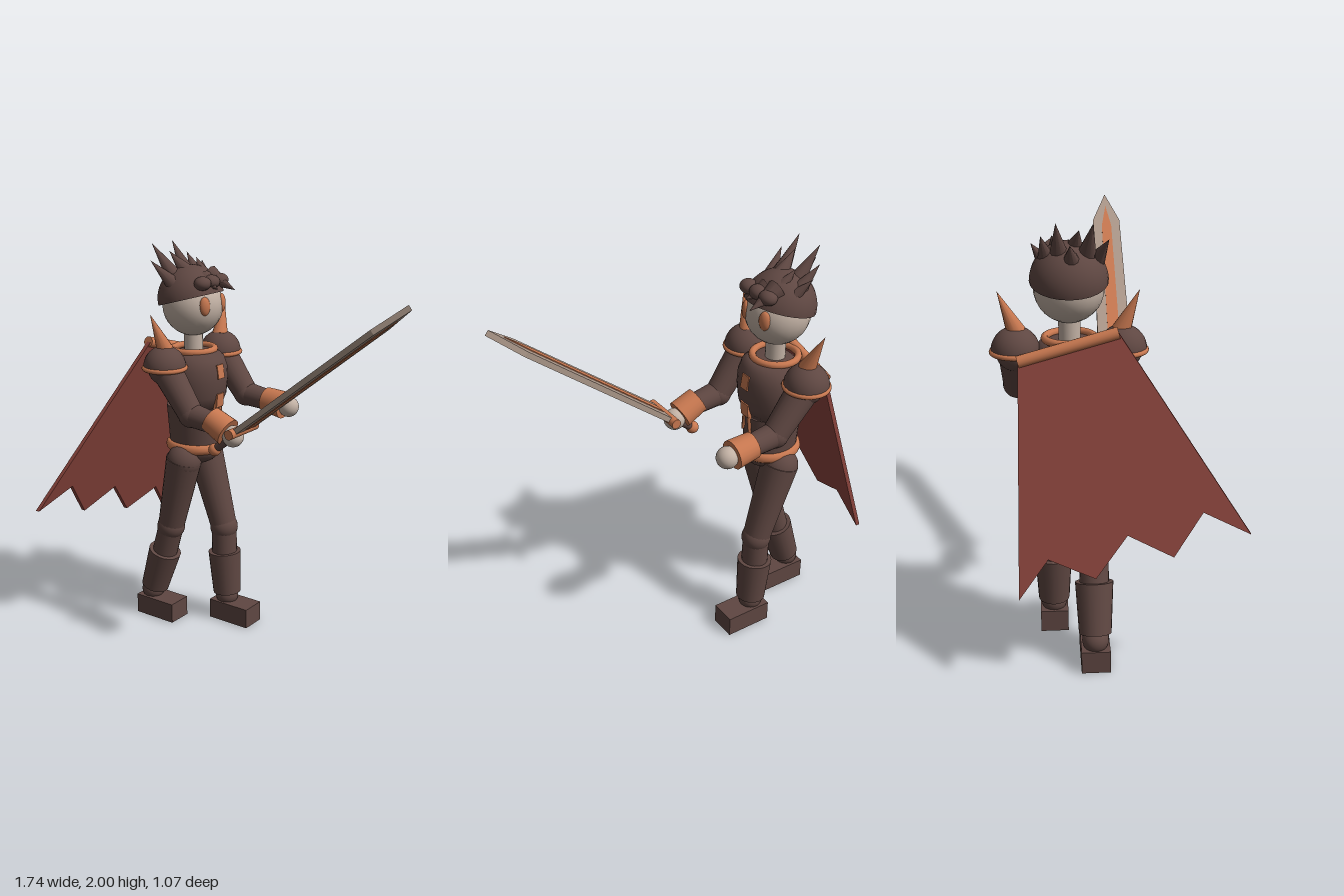
import * as THREE from 'three';

const mat = (name, color) => {
  const m = new THREE.MeshStandardMaterial({ color, side: THREE.DoubleSide });
  m.name = name;
  return m;
};
const V = (x, y, z) => new THREE.Vector3(x, y, z);

export function createModel() {
  const cloth = mat('dark brown', 0x5f4742), copper = mat('copper', 0xc87850), skin = mat('skin', 0xc2b1a4);
  const steel = mat('steel', 0xac988a), red = mat('cape red', 0x8c453d);
  const root = new THREE.Group();
  root.name = 'caped swordsman';

  const add = (name, geo, m, pos = [0, 0, 0], parent = root) => {
    const mesh = new THREE.Mesh(geo, m);
    mesh.name = name;
    mesh.position.set(...pos);
    parent.add(mesh);
    return mesh;
  };
  const ball = (name, m, pos, r, s = [1, 1, 1], parent = root) => {
    const mesh = add(name, new THREE.SphereGeometry(r, 24, 16), m, pos, parent);
    mesh.scale.set(...s);
    return mesh;
  };
  // tapered cylinder or cone running from a to b
  const limb = (name, m, a, b, r0, r1, sides = 20, parent = root) => {
    const d = V(...b).sub(V(...a));
    const mesh = add(name, new THREE.CylinderGeometry(r1, r0, d.length(), sides), m, [0, 0, 0], parent);
    mesh.position.copy(V(...a).addScaledVector(d, 0.5));
    mesh.quaternion.setFromUnitVectors(V(0, 1, 0), d.normalize());
    return mesh;
  };
  const ring = (name, r, tube, pos, sx = 1, sz = 1, sy = 1) => {
    const g = new THREE.TorusGeometry(r, tube, 10, 32).rotateX(Math.PI / 2).scale(sx, sy, sz);
    return add(name, g, copper, pos);
  };
  const midZ = -0.2;

  // torso
  const profile = [[0, 1.47], [0.11, 1.47], [0.145, 1.44], [0.162, 1.39], [0.165, 1.33], [0.155, 1.25], [0.13, 1.19], [0, 1.19]];
  const chest = new THREE.LatheGeometry(profile.reverse().map(p => new THREE.Vector2(...p)), 28);
  add('chest', chest.scale(0.9, 1, 1), cloth, [-0.418, 0, midZ]);
  add('waist', new THREE.CylinderGeometry(0.15, 0.135, 0.2, 28).scale(1, 1, 0.83), cloth, [-0.44, 1.09, midZ]);
  ring('belt', 0.132, 0.022, [-0.442, 0.978, midZ], 1, 0.86, 1.2);
  ball('pelvis', cloth, [-0.44, 0.965, midZ], 0.13, [1.05, 0.65, 0.9]);
  ring('collar', 0.106, 0.017, [-0.44, 1.477, midZ]);
  limb('neck', skin, [-0.44, 1.45, midZ], [-0.44, 1.58, midZ], 0.047, 0.047);

  // chest ornament
  add('upper chest plate', new THREE.BoxGeometry(0.02, 0.07, 0.05), copper, [-0.28, 1.38, midZ]).rotation.z = 0.15;
  add('lower chest plate', new THREE.BoxGeometry(0.02, 0.07, 0.055), copper, [-0.285, 1.235, midZ]).rotation.z = -0.1;
  for (const s of [-1, 1])
    limb('chest plate tail', copper, [-0.295, 1.22, midZ + s * 0.015], [-0.292, 1.11, midZ + s * 0.028], 0.014, 0.007, 4);

  // head
  ball('head', skin, [-0.44, 1.697, midZ], 0.151);
  for (const s of [-1, 1]) ball('eye', copper, [-0.314, 1.71, midZ + s * 0.069], 0.046, [0.42, 1, 0.6]).rotation.y = -s * 0.5;
  const cap = add('hair cap', new THREE.SphereGeometry(0.166, 24, 14, 0, Math.PI * 2, 0, Math.PI * 0.5), cloth, [-0.45, 1.727, midZ]);
  cap.rotation.z = 0.27;

  // hair spikes: base, tip, base radius
  const spikes = [
    [[-0.5, 1.84, -0.13], [-0.615, 1.995, -0.105], 0.042],
    [[-0.5, 1.84, -0.24], [-0.61, 1.995, -0.255], 0.042],
    [[-0.45, 1.85, -0.18], [-0.55, 1.955, -0.16], 0.045],
    [[-0.47, 1.81, -0.09], [-0.57, 1.92, -0.04], 0.04],
    [[-0.47, 1.82, -0.29], [-0.565, 1.935, -0.315], 0.04],
    [[-0.43, 1.80, -0.3], [-0.5, 1.895, -0.355], 0.035],
    [[-0.53, 1.81, -0.19], [-0.64, 1.91, -0.2], 0.045],
    [[-0.4, 1.83, -0.25], [-0.47, 1.92, -0.27], 0.04],
    [[-0.38, 1.84, -0.26], [-0.23, 1.78, -0.265], 0.05],
    [[-0.37, 1.83, -0.2], [-0.27, 1.79, -0.18], 0.045],
  ];
  for (const [a, b, r] of spikes) limb('hair spike', cloth, a, b, r, 0, 10);
  for (const z of [-0.27, -0.2, -0.13]) ball('fringe lock', cloth, [-0.325, 1.82, z], 0.045, [0.9, 0.75, 1]);

  // arms: s is the side, wrist and elbow heights differ
  const arms = [
    { s: 1, z: 0.025, elbow: [-0.285, 1.21], cuff: [-0.115, 1.185], hand: [-0.035, 1.145] },
    { s: -1, z: -0.43, elbow: [-0.28, 1.22], cuff: [-0.1, 1.2], hand: [-0.018, 1.19] },
  ];
  for (const { s, z, elbow, cuff, hand } of arms) {
    ball('shoulder', cloth, [-0.44, 1.42, z], 0.085);
    limb('upper arm', cloth, [-0.43, 1.41, z], [...elbow, z], 0.075, 0.062);
    ball('elbow', cloth, [...elbow, z], 0.064);
    limb('forearm', cloth, [...elbow, z], [...cuff, z], 0.06, 0.05);
    const d = V(hand[0] - cuff[0], hand[1] - cuff[1], 0).normalize().multiplyScalar(0.056);
    limb('cuff', copper, [cuff[0] - d.x, cuff[1] - d.y, z], [cuff[0] + d.x, cuff[1] + d.y, z], 0.063, 0.07);
    ball('hand', skin, [...hand, z], 0.052);
    // shoulder armour
    const pad = new THREE.SphereGeometry(0.105, 24, 10, 0, Math.PI * 2, 0, Math.PI / 2);
    add('shoulder pad', pad, cloth, [-0.443, 1.425, z]);
    ring('shoulder pad rim', 0.101, 0.012, [-0.443, 1.422, z]);
    limb('shoulder spike', copper, [-0.443, 1.51, z - 0.005 * s], [-0.468, 1.69, z + s * 0.07], 0.042, 0, 12);
  }

  // legs
  const legs = [
    { z: -0.108, knee: [-0.535, 0.53], top: [-0.58, 0.38], low: [-0.655, 0.16], ankle: [-0.67, 0.135], foot: -0.61 },
    { z: -0.285, knee: [-0.32, 0.52], top: [-0.317, 0.38], low: [-0.302, 0.15], ankle: [-0.302, 0.13], foot: -0.25 },
  ];
  for (const { z, knee, top, low, ankle, foot } of legs) {
    ball('hip', cloth, [-0.44, 0.91, z], 0.09);
    limb('thigh', cloth, [-0.44, 0.92, z], [...knee, z], 0.092, 0.068);
    ball('knee', cloth, [...knee, z], 0.073);
    limb('calf', cloth, [...knee, z], [...top, z], 0.066, 0.066);
    limb('shin guard', cloth, [...top, z], [...low, z], 0.086, 0.073);
    ball('ankle', cloth, [...ankle, z], 0.06);
    add('boot', new THREE.BoxGeometry(0.24, 0.105, 0.13), cloth, [foot, 0.0525, z]);
  }

  // cape: flat cut-out sheared backwards below its sloping top edge
  const outline = [[-0.42, 1.412], [-0.438, 0.465], [-0.312, 0.63], [-0.115, 0.555], [0.02, 0.73],
    [0.21, 0.645], [0.335, 0.825], [0.53, 0.74], [0, 1.53]];
  const shape = new THREE.Shape(outline.map(([z, y]) => new THREE.Vector2(-z, y)));
  const cape = new THREE.ExtrudeGeometry(shape, { depth: 0.022, bevelEnabled: false });
  cape.rotateY(Math.PI / 2);
  const p = cape.attributes.position;
  for (let i = 0; i < p.count; i++)
    p.setX(i, p.getX(i) - 0.572 - 0.316 * (1.53 + 0.28 * p.getZ(i) - p.getY(i)));
  cape.computeVertexNormals();
  add('cape', cape, red);
  limb('cape roll', copper, [-0.565, 1.412, -0.42], [-0.565, 1.53, 0], 0.026, 0.026);

  // sword, built along local x from the guard
  const sword = new THREE.Group();
  sword.name = 'sword';
  sword.position.set(0.02, 1.188, 0.03);
  sword.rotation.z = 0.671;
  root.add(sword);
  const blade = (name, pts, t, m) => {
    const both = [...pts, ...pts.slice(0, -1).reverse().map(([x, w]) => [x, -w])];
    const s = new THREE.Shape(both.map(q => new THREE.Vector2(...q)));
    const g = new THREE.ExtrudeGeometry(s, { depth: t, bevelEnabled: false });
    add(name, g.translate(0, 0, -t / 2).rotateX(Math.PI / 2), m, [0, 0, 0], sword);
  };
  blade('blade', [[0.01, 0.08], [0.9, 0.068], [1.073, 0]], 0.026, steel);
  blade('blade inlay', [[0.04, 0.029], [0.86, 0.024], [0.99, 0]], 0.034, copper);
  limb('guard', copper, [0, 0, -0.108], [0, 0, 0.108], 0.024, 0.024, 16, sword);
  limb('grip', cloth, [-0.2, 0, 0], [0, 0, 0], 0.02, 0.02, 14, sword);
  ball('pommel', copper, [-0.205, 0, 0], 0.031, [1, 1, 1], sword);

  return root;
}
